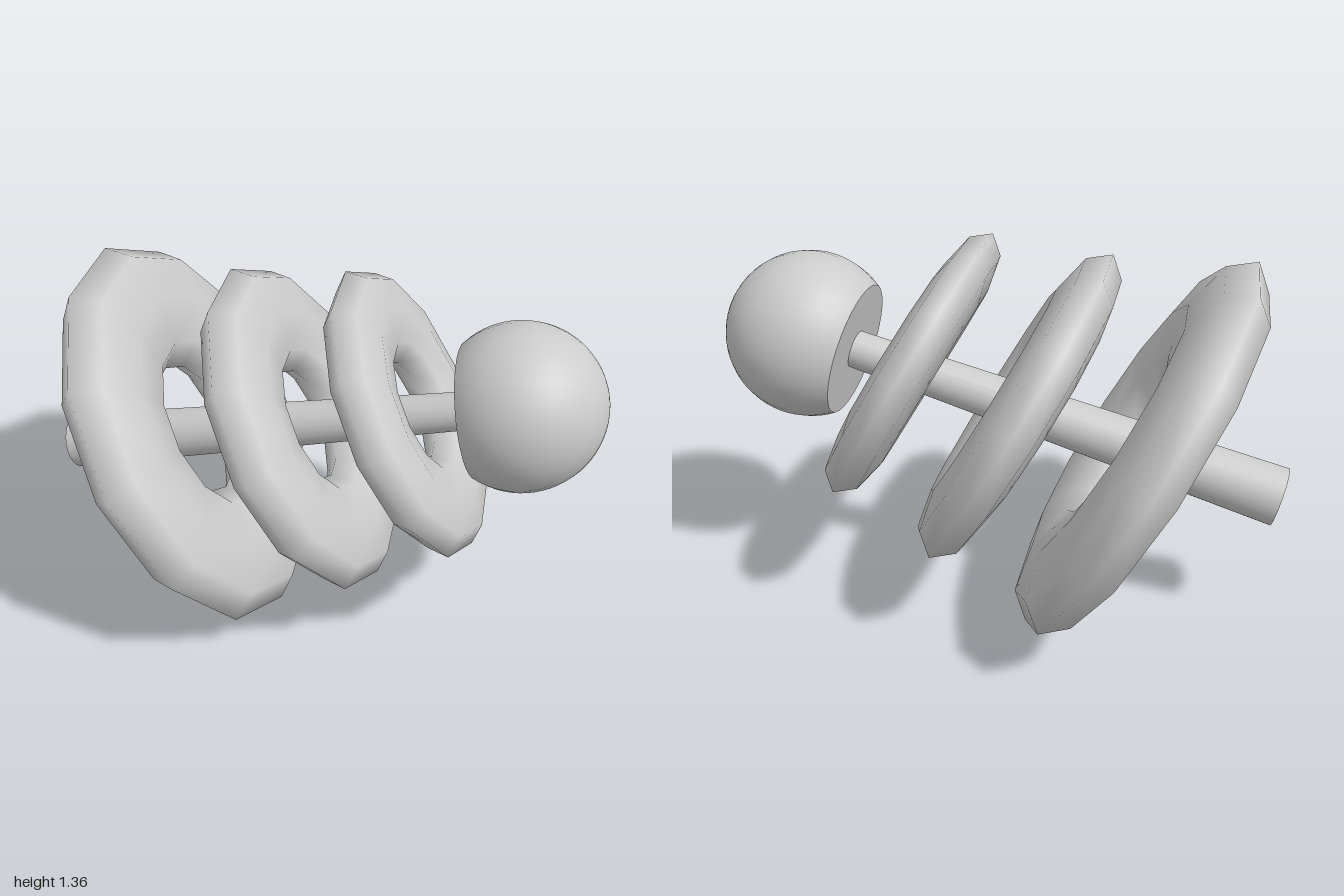
import * as THREE from 'three';

export function createModel() {
  const model = new THREE.Group();
  const mat = new THREE.MeshStandardMaterial({ color: 0xcccccc });
  const base = new THREE.Vector3(-0.95, 0.51, 0.26);
  const ballCentre = new THREE.Vector3(0.69, 0.96, -0.4);
  const axis = ballCentre.clone().sub(base).normalize();
  const length = base.distanceTo(ballCentre);
  const alongRod = new THREE.Quaternion().setFromUnitVectors(new THREE.Vector3(0, 1, 0), axis);

  const add = (name, geometry, position, quaternion) => {
    const mesh = new THREE.Mesh(geometry, mat);
    mesh.name = name;
    mesh.position.copy(position);
    mesh.quaternion.copy(quaternion);
    model.add(mesh);
    return mesh;
  };

  // Rod tapering towards the ball
  const rodLength = length - 0.15;
  add('rod', new THREE.CylinderGeometry(0.07, 0.108, rodLength, 24),
    base.clone().addScaledVector(axis, rodLength / 2), alongRod);

  // Ball, cut flat where it meets the rod
  const r = 0.31, cut = Math.PI * 0.7;
  add('ball', new THREE.SphereGeometry(r, 32, 24, 0, Math.PI * 2, 0, cut), ballCentre, alongRod);
  const cutRadius = r * Math.sin(cut);
  add('ballFlatFace', new THREE.CircleGeometry(cutRadius, 32).rotateX(Math.PI / 2),
    ballCentre.clone().addScaledVector(axis, r * Math.cos(cut)), alongRod);

  // Three flattened twelve-sided rings, leaning on the rod
  const normal = new THREE.Vector3(0.78, 0.5, -0.37).normalize();
  const u = new THREE.Vector3(0.322, 0.184, 0.929);
  u.addScaledVector(normal, -u.dot(normal)).normalize();
  const v = normal.clone().cross(u);
  const lean = new THREE.Quaternion().setFromRotationMatrix(new THREE.Matrix4().makeBasis(u, v, normal));
  const rings = [
    ['largeRing', 0.78, [-0.475, 0.652, 0.062]],
    ['middleRing', 0.652, [-0.05, 0.752, -0.1]],
    ['smallRing', 0.565, [0.318, 0.877, -0.252]],
  ];
  for (const [name, radius, centre] of rings) {
    const ring = add(name, new THREE.TorusGeometry(radius * 0.67, radius * 0.33, 8, 12),
      new THREE.Vector3(...centre), lean);
    ring.scale.z = 0.5;
  }
  return model;
}
